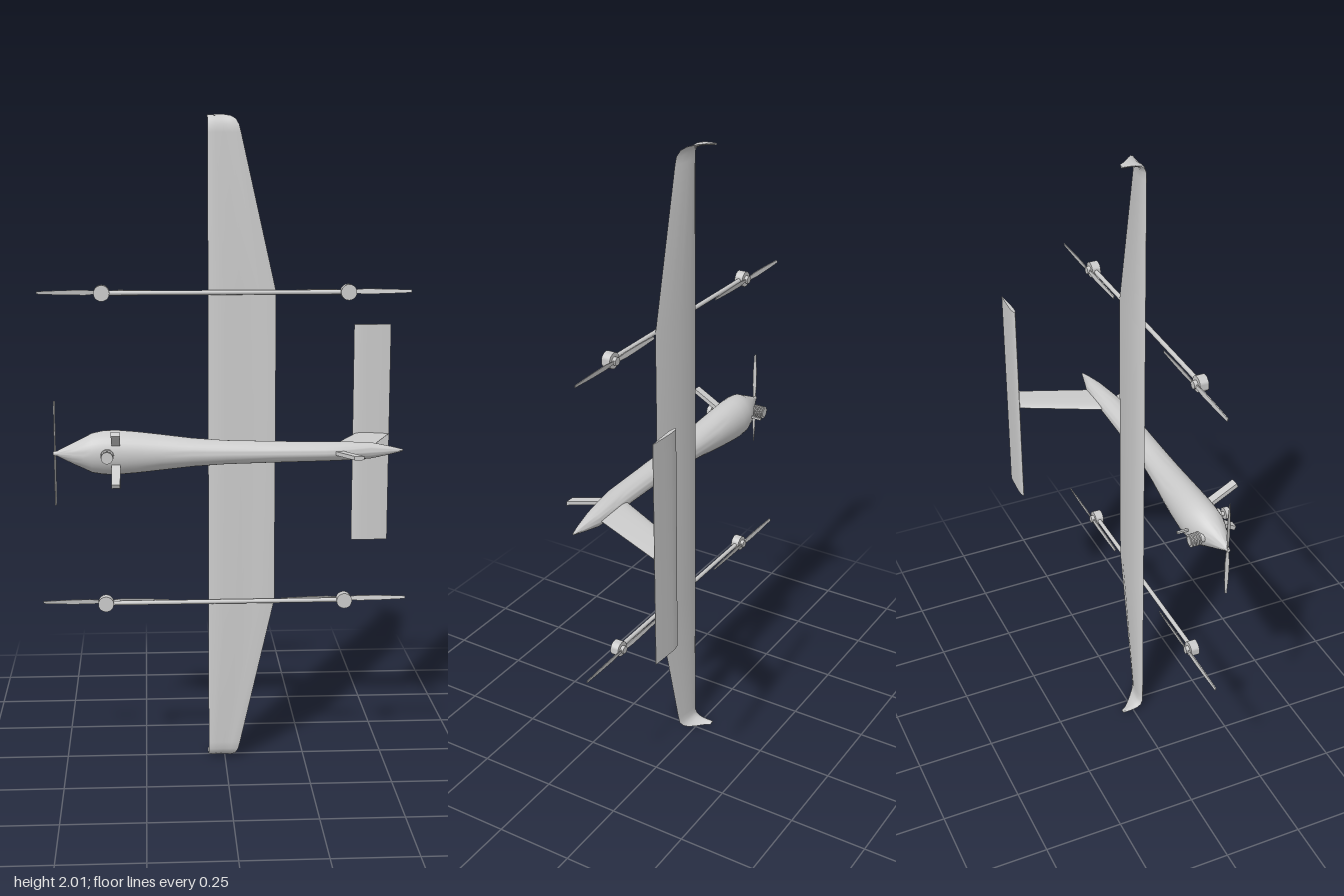
import * as THREE from 'three';
import { toCreasedNormals } from 'three/addons/utils/BufferGeometryUtils.js';

const material = new THREE.MeshStandardMaterial({ color: 0xcccccc });

// Closed skin through a row of equal-sized rings, capped at both ends
function loft(rings, crease = 0.7) {
  const n = rings[0].length, last = (rings.length - 1) * n;
  const pts = rings.flat(), index = [];
  for (let i = 0; i < last; i += n) {
    for (let j = 0; j < n; j++) {
      const k = (j + 1) % n;
      index.push(i + j, i + k, i + n + j, i + k, i + n + k, i + n + j);
    }
  }
  for (let j = 1; j < n - 1; j++) index.push(0, j + 1, j, last, last + j, last + j + 1);
  // Turn the skin outward if the rings run the other way round
  let volume = 0;
  for (let i = 0; i < index.length; i += 3) {
    const [a, b, c] = [0, 1, 2].map((k) => pts[index[i + k]]);
    volume += a.dot(b.clone().cross(c));
  }
  if (volume < 0) index.reverse();
  const geo = new THREE.BufferGeometry().setFromPoints(pts);
  geo.setIndex(index);
  return toCreasedNormals(geo, crease);
}

const v = (x, y, z) => new THREE.Vector3(x, y, z);

// Airfoils as [fraction of chord, offset]
const CAMBERED = [[0, 0], [0.03, 0.4], [0.12, 0.85], [0.28, 1], [0.5, 0.75], [0.75, 0.25], [1, -0.6],
  [0.98, -0.66], [0.75, -0.35], [0.5, -0.3], [0.25, -0.5], [0.06, -0.35]];
const SYMMETRIC = [[0, 0], [0.04, 0.5], [0.15, 0.9], [0.3, 1], [0.6, 0.7], [1, 0.1],
  [1, -0.1], [0.6, -0.7], [0.3, -1], [0.15, -0.9], [0.04, -0.5]];

export function createModel() {
  const model = new THREE.Group();
  model.name = 'uncrewedAircraft';
  const add = (name, geo, x = 0, y = 0, z = 0, parent = model) => {
    const mesh = new THREE.Mesh(geo, material);
    mesh.name = name;
    mesh.position.set(x, y, z);
    parent.add(mesh);
    return mesh;
  };
  const cylinderZ = (r, h, n = 20) => toCreasedNormals(new THREE.CylinderGeometry(r, r, h, n).rotateX(Math.PI / 2), 0.7);

  // Fuselage: [x, half width, back z, belly z]
  const hull = [[-0.519, 0.003, 0.076, 0.083], [-0.5, 0.013, 0.066, 0.092], [-0.46, 0.033, 0.048, 0.11],
    [-0.43, 0.047, 0.033, 0.12], [-0.405, 0.06, 0.022, 0.126], [-0.37, 0.067, 0.013, 0.127],
    [-0.33, 0.068, 0.012, 0.127], [-0.27, 0.063, 0.016, 0.127], [-0.2, 0.055, 0.022, 0.127],
    [-0.1, 0.043, 0.034, 0.127], [0, 0.036, 0.043, 0.127], [0.15, 0.032, 0.047, 0.127],
    [0.3, 0.029, 0.049, 0.127], [0.36, 0.028, 0.049, 0.119], [0.44, 0.025, 0.051, 0.105],
    [0.5, 0.013, 0.066, 0.092], [0.541, 0.003, 0.076, 0.082]];
  add('fuselage', loft(hull.map(([x, w, top, bottom]) => Array.from({ length: 32 }, (_, i) => {
    const a = (i / 32) * Math.PI * 2;
    return v(x, 1 + w * Math.cos(a), (top + bottom) / 2 + ((bottom - top) / 2) * Math.sin(a));
  }))));

  // Main wing with curled tips: [span, z, chord, cant]
  const half = [[0.48, 0.034, 0.205, 0], [0.95, 0.034, 0.099, 0], [0.972, 0.033, 0.093, 0.2], [0.986, 0.027, 0.084, 0.7],
    [0.994, 0.016, 0.07, 1.1], [0.998, 0, 0.05, 1.4], [0.9995, -0.02, 0.028, 1.5], [0.9995, -0.038, 0.016, 1.5]];
  const stations = [...half.map(([s, z, c, a]) => [-s, z, c, -a]).reverse(), ...half];
  add('mainWing', loft(stations.map(([s, z, chord, cant]) => CAMBERED.map(([f, t]) => {
    const n = t * (0.003 + 0.06 * chord);
    return v(-0.052 + f * chord, 1 + s - n * Math.sin(cant), z - n * Math.cos(cant));
  }))));

  // Tail fin and tailplane
  add('tailFin', loft([[0.302, 0.06, 0.135], [0.428, -0.193, 0.112]].map(([x, z, chord]) =>
    SYMMETRIC.map(([f, t]) => v(x + f * chord, 1 + t * 0.006, z)))));
  add('tailplane', loft([0.65, 1.355].map((y) =>
    SYMMETRIC.map(([f, t]) => v(0.423 + f * 0.118, y, -0.193 + t * 0.006)))));

  // Lift booms, each with two motors and rotors
  for (const side of [-1, 1]) {
    const boom = new THREE.Group();
    boom.name = side > 0 ? 'upperLiftBoom' : 'lowerLiftBoom';
    boom.position.y = 1 + side * 0.48;
    model.add(boom);
    add('boomTube', new THREE.CylinderGeometry(0.007, 0.007, 0.76, 12).rotateZ(Math.PI / 2), 0, 0, 0.052, boom);
    for (const x of [-0.37, 0.37]) {
      add('liftMotor', cylinderZ(0.024, 0.027), x, 0, 0.053, boom);
      add('rotorHub', cylinderZ(0.012, 0.012, 12), x, 0, 0.034, boom);
      for (const end of [-1, 1]) {
        add('rotorBlade', loft([[0.005, 0.004], [0.05, 0.008], [0.12, 0.007], [0.195, 0.004]].map(([r, w]) =>
          [[-w, -0.0012], [w, -0.003], [w, -0.0005], [-w, 0.002]].map(([y, z]) =>
            v(x + end * r, end * y, 0.035 + z))), 0.3), 0, 0, 0, boom);
      }
    }
  }

  // Nose propeller
  const spinner = new THREE.CylinderGeometry(0.006, 0.008, 0.012, 12).rotateZ(Math.PI / 2);
  add('propellerHub', spinner, -0.516, 1, 0.08);
  for (const end of [-1, 1]) {
    add('propellerBlade', loft([[0.004, 0.003], [0.05, 0.006], [0.11, 0.005], [0.16, 0.002]].map(([r, w]) =>
      [[-w, -0.003], [w, 0.001], [w, 0.003], [-w, -0.001]].map(([z, x]) =>
        v(-0.516 + x, 1 + end * r, 0.08 + end * z))), 0.3));
  }

  // Finned engine cylinder and antenna mast on the back of the nose
  add('engineCylinder', cylinderZ(0.014, 0.05, 16), -0.435, 1, 0.022);
  for (const z of [0.001, 0.01, 0.019, 0.028]) add('coolingFin', cylinderZ(0.02, 0.004, 16), -0.435, 1, z);
  add('antennaMast', new THREE.BoxGeometry(0.007, 0.007, 0.05), -0.386, 1, 0.008);

  // Belly camera
  add('cameraMount', cylinderZ(0.02, 0.012), -0.358, 1, 0.129);
  add('cameraNeck', cylinderZ(0.007, 0.025, 12), -0.358, 1, 0.142);
  add('cameraBody', cylinderZ(0.018, 0.015), -0.358, 1, 0.156);

  // Splayed front legs and raked tail skid
  for (const side of [-1, 1]) {
    const leg = [[0.025, 0.1], [0.079, 0.198]].map(([y, z]) => [[-0.345, 1], [-0.319, 1], [-0.319, -1], [-0.345, -1]]
      .map(([x, t]) => v(x, 1 + side * (y + t * 0.006), z - t * 0.003)));
    add('frontLeg', loft(leg, 0.3));
  }
  const skid = [[0.322, 0.35, 0.11], [0.376, 0.405, 0.199]].map(([x0, x1, z]) =>
    [[x0, -1], [x1, -1], [x1, 1], [x0, 1]].map(([x, t]) => v(x, 1 + t * 0.006, z)));
  add('tailSkid', loft(skid, 0.3));

  return model;
}
